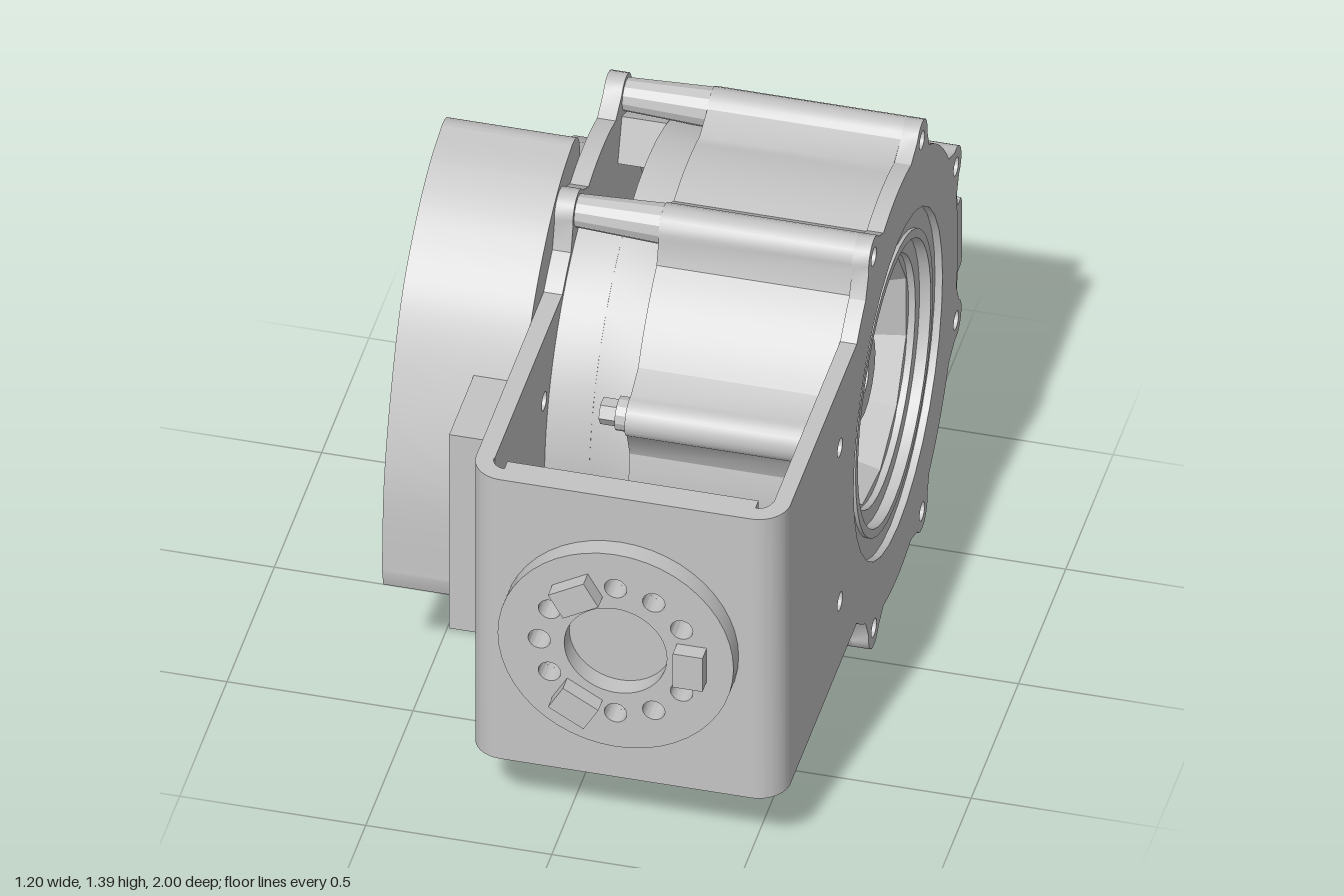
import * as THREE from 'three';
import { toCreasedNormals } from 'three/addons/utils/BufferGeometryUtils.js';

const CY = 0.672, CZ = -0.32; // drum axis, running along x
const EAR_R = 0.664, HALF = 0.461; // bolt circle radius, half height of bracket
const rad = THREE.MathUtils.degToRad;
const ALL_EARS = [22.5, 67.5, 112.5, 157.5, -22.5, -67.5, -112.5, -157.5].map(rad);
const TALL_EARS = [67.5, 112.5, -67.5, -112.5].map(rad);

export function createModel() {
  const model = new THREE.Group();
  const metal = new THREE.MeshStandardMaterial({ color: 0xc4c4c4, side: THREE.DoubleSide });
  metal.name = 'light grey metal';

  const add = (name, geo, x = 0, y = 0, z = 0) => {
    const mesh = new THREE.Mesh(toCreasedNormals(geo, 0.5), metal);
    mesh.name = name;
    mesh.position.set(x, y, z);
    model.add(mesh);
    return mesh;
  };
  const extrude = (shape, depth, curveSegments = 16) =>
    new THREE.ExtrudeGeometry(shape, { depth, bevelEnabled: false, curveSegments });
  const box = (name, x0, x1, y0, y1, z0, z1) =>
    add(name, new THREE.BoxGeometry(x1 - x0, y1 - y0, z1 - z0), (x0 + x1) / 2, (y0 + y1) / 2, (z0 + z1) / 2);
  // Side profile (u = backwards, v = up, from the drum axis) extruded across x
  const across = (name, shape, x0, x1) =>
    add(name, extrude(shape, x1 - x0).rotateY(Math.PI / 2), x0, CY, CZ);
  // Cylinder along x at (u, v) from the drum axis
  const rod = (name, u, v, x0, x1, r0, r1, sides) =>
    add(name, new THREE.CylinderGeometry(r1, r0, x1 - x0, sides).rotateZ(-Math.PI / 2), (x0 + x1) / 2, CY + v, CZ - u);
  // Turned part around the drum axis, profile as [radius, x]
  const points = list => list.map(p => new THREE.Vector2(...p));
  const turned = (name, pts, sides) =>
    add(name, new THREE.LatheGeometry(points(pts), sides).rotateZ(-Math.PI / 2), 0, CY, CZ);
  const hole = (shape, x, y, r) =>
    shape.holes.push(new THREE.Path().absarc(x, y, r, 0, Math.PI * 2, true));

  // Round outline with bolt ears, optionally merging into the bracket arm
  function outline(r, ears, arm) {
    const pts = [], limit = arm ? Math.PI - Math.asin(HALF / r) : Math.PI * 0.995;
    for (let i = 0; i <= 100; i++) {
      const a = -limit + (2 * limit * i) / 100;
      if (ears.every(e => Math.abs(a - e) > rad(8))) pts.push(new THREE.Vector2(r * Math.cos(a), r * Math.sin(a)));
    }
    for (const e of ears) for (let i = -4; i <= 4; i++) {
      const a = e + (i / 4) * 1.4;
      pts.push(new THREE.Vector2(EAR_R * Math.cos(e) + 0.057 * Math.cos(a), EAR_R * Math.sin(e) + 0.057 * Math.sin(a)));
    }
    pts.sort((p, q) => Math.atan2(p.y, p.x) - Math.atan2(q.y, q.x));
    if (arm) pts.push(new THREE.Vector2(-1.135, HALF), new THREE.Vector2(-1.135, -HALF));
    return new THREE.Shape(pts);
  }
  const drillEars = (shape, ears) => ears.forEach(e => hole(shape, EAR_R * Math.cos(e), EAR_R * Math.sin(e), 0.026));

  // Main drum and side plates
  const drum = outline(0.628, ALL_EARS, false);
  hole(drum, 0, 0, 0.47);
  across('drumBody', drum, 0.03, 0.55);

  const right = outline(0.634, ALL_EARS.filter(e => Math.abs(e) < 2.3), true);
  drillEars(right, ALL_EARS);
  hole(right, 0, 0, 0.47);
  across('rightPlate', right, 0.55, 0.595);

  const left = outline(0.625, TALL_EARS, true);
  drillEars(left, ALL_EARS.filter(e => Math.abs(e) > 1));
  across('leftPlate', left, -0.25, -0.2);

  // Rear rib on the drum
  across('rearRib', new THREE.Shape(points([[0.55, -0.19], [0.62, -0.18], [0.635, -0.11], [0.67, -0.11], [0.68, -0.09],
    [0.68, 0.09], [0.67, 0.11], [0.635, 0.11], [0.62, 0.18], [0.55, 0.19]])), 0.035, 0.594);

  // Narrow housing behind the drum, open at top and bottom
  rod('drumBack', 0, 0, -0.08, 0.03, 0.61, 0.615, 40);
  for (const mid of [0, Math.PI]) {
    const wall = new THREE.Shape(), h = rad(70);
    wall.absarc(0, 0, 0.61, mid - h, mid + h, false);
    wall.absarc(0, 0, 0.48, mid + h, mid - h, true);
    across('housingWall', wall, -0.2, -0.08);
  }

  // Long bolt bosses reach the left plate, the others end in short nuts
  for (const e of ALL_EARS) {
    const u = EAR_R * Math.cos(e), v = EAR_R * Math.sin(e);
    if (TALL_EARS.includes(e)) {
      rod('boltBoss', u, v, -0.2, 0.03, 0.045, 0.055, 12);
    } else {
      rod('boltCollar', u, v, 0.0, 0.03, 0.046, 0.046, 12);
      rod('boltNut', u, v, -0.045, 0.0, 0.036, 0.036, 6);
    }
    rod('boltScrew', u, v, 0.53, 0.575, 0.015, 0.015, 6);
  }

  // Stepped recess with hub in the right side
  turned('recessRim', [[0.47, 0.594], [0.47, 0.575], [0.41, 0.575], [0.41, 0.585], [0.385, 0.585], [0.385, 0.555], [0.34, 0.555], [0.34, 0.53]], 40);
  turned('recessBowl', [[0.38, 0.54], [0.335, 0.535], [0.3, 0.43], [0.22, 0.4], [0.21, 0.37], [0, 0.37]], 11);
  turned('hub', [[0.21, 0.37], [0.2, 0.405], [0.17, 0.405], [0.13, 0.39], [0.13, 0.49], [0.115, 0.505], [0.045, 0.505], [0.04, 0.46], [0, 0.46]], 16);
  for (let i = 0; i < 6; i++) {
    const a = rad(90 + i * 60), lug = box('recessLug', 0.37, 0.43, -0.06, 0.06, -0.045, 0.045);
    lug.position.set(0.4, CY + 0.255 * Math.sin(a), CZ - 0.255 * Math.cos(a));
    lug.rotation.x = a;
  }

  // Left gear stages
  rod('gearDisc', 0, 0, -0.36, -0.25, 0.51, 0.51, 22);
  rod('gearHub', 0, 0, -0.46, -0.36, 0.3, 0.34, 10);

  // Curved cover over the gears, with three screw holes
  const cover = new THREE.Shape();
  cover.moveTo(-0.04, -0.332);
  cover.lineTo(-0.04, 0.65);
  cover.quadraticCurveTo(-0.05, 0.718, -0.12, 0.718);
  cover.splineThru(points([[-0.25, 0.69], [-0.4, 0.61], [-0.55, 0.468], [-0.66, 0.25], [-0.735, 0], [-0.755, -0.28]]));
  cover.lineTo(-0.74, -0.332);
  cover.closePath();
  for (const [u, v] of [[-0.22, 0.59], [-0.17, 0.04], [-0.09, -0.22]]) hole(cover, u, v, 0.03);
  across('gearCover', cover, -0.6, -0.25);
  box('coverLip', -0.6, -0.46, 0.34, 1.2, -0.33, -0.28);
  box('coverBlock', -0.385, -0.25, 0.35, 0.99, 0.05, 0.57);

  // Front wall of the bracket and its rounded corners
  const hornX = 0.16, holeAngles = [30, 60, 90, 150, 180, 210, 270, 300, 330].map(rad);
  const drillHorn = shape => holeAngles.forEach(a => hole(shape, hornX + 0.205 * Math.cos(a), CY + 0.205 * Math.sin(a), 0.03));
  const y0 = CY - HALF, y1 = CY + HALF;
  const wall = new THREE.Shape(points([[-0.165, y0], [0.51, y0], [0.51, y1], [-0.165, y1]]));
  drillHorn(wall);
  add('bracketFront', extrude(wall, 0.08), 0, 0, 0.82);
  for (const [cx, a] of [[0.51, -Math.PI / 2], [-0.165, Math.PI]]) {
    const corner = new THREE.Shape();
    corner.absarc(cx, -0.815, 0.085, a, a + Math.PI / 2, false);
    corner.absarc(cx, -0.815, 0.037, a + Math.PI / 2, a, true);
    add('bracketCorner', extrude(corner, 2 * HALF, 8).rotateX(-Math.PI / 2), 0, y0, 0);
  }

  // Front horn ring with three lugs
  const horn = new THREE.Shape().absarc(hornX, CY, 0.317, 0, Math.PI * 2, false);
  hole(horn, hornX, CY, 0.138);
  drillHorn(horn);
  add('hornRing', extrude(horn, 0.055, 24), 0, 0, 0.9);
  for (const deg of [0, 120, 240]) {
    const a = rad(deg), lug = box('hornLug', -0.04, 0.04, -0.055, 0.055, 0.95, 1.0);
    lug.position.set(hornX + 0.205 * Math.cos(a), CY + 0.205 * Math.sin(a), 0.975);
    lug.rotation.z = a;
  }

  return model;
}
